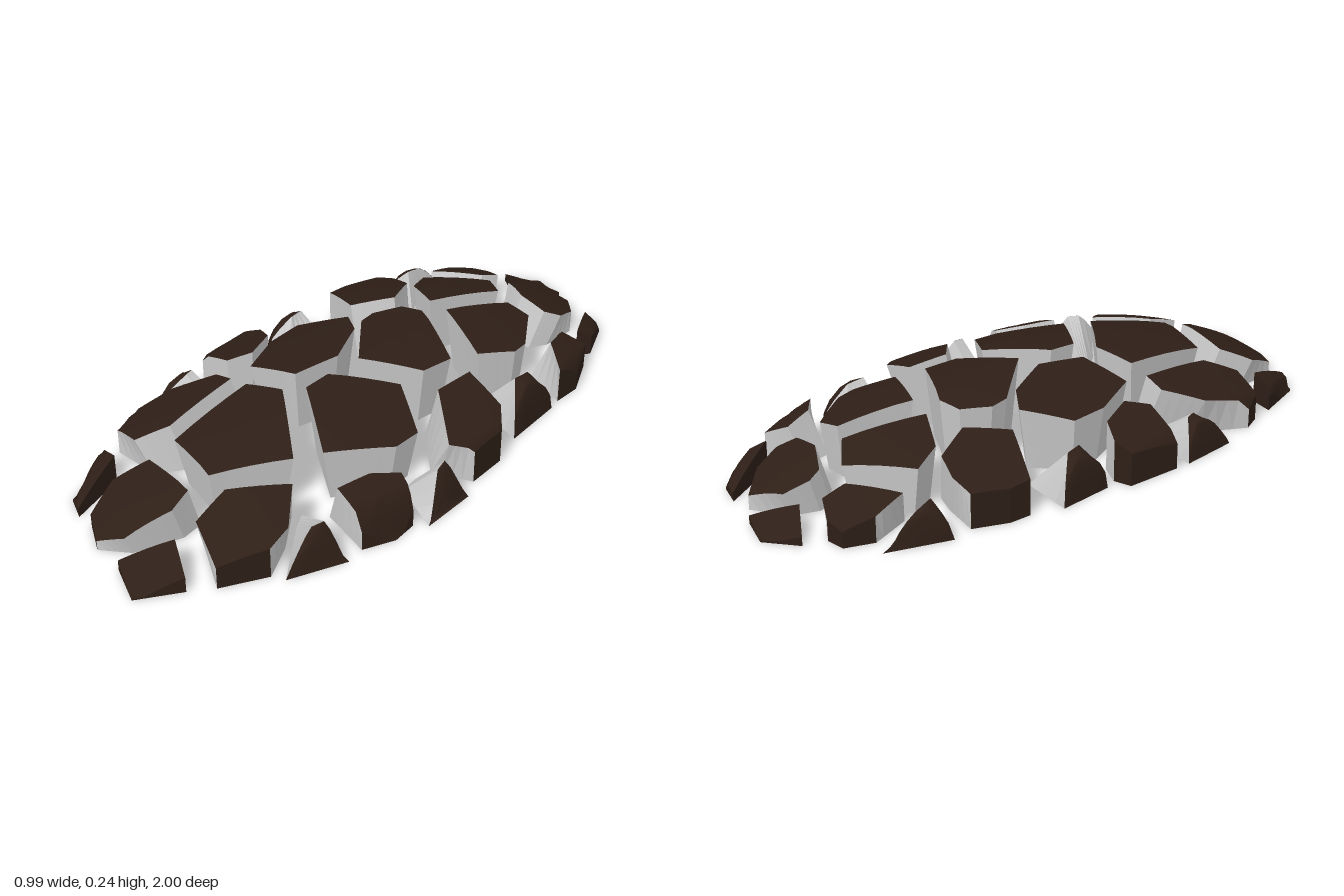
import * as THREE from 'three';

// Slabs on the crown of the dome: corners as [x, z]
const CROWN = [
  [[-.26, -.57], [-.10, -.72], [-.01, -.66], [-.09, -.42], [-.22, -.48]],
  [[.06, -.63], [.14, -.64], [.24, -.51], [.25, -.45], [.20, -.33], [-.01, -.41]],
  [[-.17, -.24], [-.13, -.33], [-.06, -.35], [.17, -.24], [.16, -.13], [0, -.01], [-.16, -.18]],
  [[-.33, -.06], [-.22, -.18], [-.14, -.13], [-.06, .02], [-.09, .17], [-.25, .21], [-.32, .06]],
  [[-.01, .11], [.16, -.03], [.32, .06], [.32, .15], [.21, .34], [-.01, .20]],
  [[-.18, .29], [-.06, .25], [.17, .42], [.04, .63], [-.16, .59]],
];

// Larger slabs that run down to the rim
const RIM = [
  [[-.31, -.75], [-.28, -.84], [-.22, -.85], [-.15, -.82], [-.16, -.75], [-.30, -.65]],
  [[-.07, -.81], [-.04, -.88], [.07, -.93], [.15, -.85], [.17, -.77], [.14, -.72], [.04, -.72], [-.06, -.77]],
  [[.24, -.69], [.31, -.73], [.37, -.62], [.37, -.53], [.27, -.60]],
  [[-.45, -.32], [-.45, -.39], [-.41, -.50], [-.34, -.51], [-.26, -.49], [-.20, -.37], [-.28, -.25]],
  [[.24, -.25], [.38, -.24], [.44, -.18], [.45, -.05], [.40, .01], [.24, -.11]],
  [[.39, .20], [.46, .22], [.47, .30], [.43, .40], [.32, .39], [.34, .28]],
  [[-.43, .56], [-.40, .40], [-.32, .29], [-.25, .29], [-.23, .55], [-.29, .64], [-.40, .62]],
  [[.11, .63], [.23, .48], [.32, .58], [.33, .66], [.26, .80], [.12, .75]],
  [[-.22, .78], [-.17, .68], [.03, .70], [.04, .77], [-.02, .90], [-.10, .94], [-.19, .89]],
];

// Upright chips around the rim
const CHIPS = [
  [[.14, -.94], [.22, -.92], [.28, -.80], [.25, -.76]],
  [[-.20, -.92], [-.11, -1], [0, -.97], [-.11, -.87]],
  [[-.38, .70], [-.30, .71], [-.25, .89], [-.32, .86]],
  [[.11, .82], [.21, .87], [.13, 1], [.01, .95]],
  [[-.495, .02], [-.44, 0], [-.37, .03], [-.32, .14], [-.36, .21], [-.495, .20]],
];

// Wedges on the rim: two rim corners with two ridge corners between, then the feet of the ridge
const WEDGES = [
  { top: [[-.37, -.77], [-.37, -.66], [-.36, -.60], [-.43, -.57]], feet: [[-.34, -.66], [-.30, -.56]] },
  { top: [[-.48, -.22], [-.42, -.16], [-.41, -.11], [-.46, -.04]], feet: [[-.30, -.21], [-.35, -.02]] },
  { top: [[-.495, .25], [-.44, .29], [-.43, .32], [-.47, .44]], feet: [[-.26, .25], [-.28, .29]] },
  { top: [[.38, -.49], [.33, -.42], [.33, -.36], [.40, -.29]], feet: [[.26, -.47], [.20, -.33]] },
  { top: [[.485, .01], [.43, .06], [.44, .10], [.495, .19]], feet: [[.32, .07], [.33, .13]] },
  { top: [[.44, .46], [.37, .49], [.36, .53], [.37, .64]], feet: [[.20, .42], [.23, .47]] },
];

const brown = new THREE.MeshStandardMaterial({ color: 0x2e1f17 });
const grey = new THREE.MeshStandardMaterial({ color: 0xcccccc });

// Squared distance from the dome's axis, about 1 at the rim
const radius2 = (x, z) => ((x + .02) / .48) ** 2 + z * z;

// Height of the dome: a shallow crown with steep sides
const height = (x, z) => Math.max(.005, Math.min(
  .243 - .08 * Math.abs(x) - .4 * x * x - .09 * z * z - .15 * z ** 4,
  .33 * Math.sqrt(Math.max(0, 1.08 - radius2(x, z)))));

const lerp = (a, b, t) => [a[0] + (b[0] - a[0]) * t, a[1] + (b[1] - a[1]) * t];
const mean = list => list.reduce((s, p) => [s[0] + p[0] / list.length, s[1] + p[1] / list.length], [0, 0]);

// Crown slabs taper downwards
const taperedFeet = corners => corners.map(c => lerp(c, mean(corners), .17));

// Rim slabs lean outwards, so their inner feet lie nearer the axis
const leaningFeet = corners => corners.map(([x, z]) => {
  const k = radius2(x, z) > .84 ? 0 : Math.min(1, height(x, z) / .15);
  return [x * (1 - .18 * k), z * (1 - .06 * k)];
});

function meshOf(name, points, index, material, smooth) {
  let g = new THREE.BufferGeometry();
  g.setAttribute('position', new THREE.Float32BufferAttribute(points.flat(), 3));
  g.setIndex(index);
  if (!smooth) g = g.toNonIndexed();
  g.computeVertexNormals();
  const mesh = new THREE.Mesh(g, material);
  mesh.name = name;
  return mesh;
}

// drop is 1 at corners where the skin comes down to the ground
function fragment(name, corners, feet, drop = corners.map(() => 0)) {
  const area = corners.reduce((s, [x, z], i) => {
    const [u, w] = corners[(i + 1) % corners.length];
    return s + x * w - u * z;
  }, 0);
  if (area > 0) [corners, feet, drop] = [corners, feet, drop].map(a => [...a].reverse());
  const group = new THREE.Group();
  group.name = name;

  // Outline with each edge split, so that it follows the dome
  const STEPS = 4, top = [], base = [], fall = [], outer = [];
  const upright = i => corners[i][0] === feet[i][0] && corners[i][1] === feet[i][1];
  corners.forEach((c, i) => {
    const j = (i + 1) % corners.length;
    const onRim = upright(i) && upright(j) && radius2(...lerp(c, corners[j], .5)) > .84;
    for (let s = 0; s < STEPS; s++) {
      const t = s / STEPS;
      top.push(lerp(c, corners[j], t));
      base.push(lerp(feet[i], feet[j], t));
      fall.push(drop[i] + (drop[j] - drop[i]) * t);
      outer.push(onRim);
    }
  });
  const n = top.length;

  // Curved outer skin, in rings around the middle
  const centre = mean(top), rings = [.35, .7, .9, 1];
  const lift = ([x, z], f) => [x, height(x, z) * Math.sqrt(1 - f), z];
  const skin = [lift(centre, 0)], skinIndex = [];
  rings.forEach((t, r) => top.forEach((p, i) => {
    skin.push(lift(lerp(centre, p, t), fall[i] * t * t));
    const a = 1 + r * n + i, b = 1 + r * n + (i + 1) % n;
    if (r === 0) skinIndex.push(0, a, b);
    else skinIndex.push(a - n, a, b, a - n, b, b - n);
  }));
  group.add(meshOf('outerSkin', skin, skinIndex, brown, true));

  // Side walls: grey where cut, brown along the rim
  const walls = [...top.map((p, i) => lift(p, fall[i])), ...base.map(([x, z]) => [x, 0, z])];
  const cut = [], rim = [];
  for (let i = 0; i < n; i++) {
    const j = (i + 1) % n;
    if (fall[i] === 1 && fall[j] === 1) continue;
    (outer[i] ? rim : cut).push(i, n + i, n + j, i, n + j, j);
  }
  group.add(meshOf('cutFaces', walls, cut, grey, false));
  if (rim.length) group.add(meshOf('rimFace', walls, rim, brown, false));

  // Flat underside
  const under = [mean(base), ...base].map(([x, z]) => [x, 0, z]), underIndex = [];
  for (let i = 0; i < n; i++) underIndex.push(0, 1 + (i + 1) % n, 1 + i);
  group.add(meshOf('underside', under, underIndex, brown, false));
  return group;
}

export function createModel() {
  const model = new THREE.Group();
  model.name = 'crackedDome';
  CROWN.forEach((c, i) => model.add(fragment(`crownSlab${i + 1}`, c, taperedFeet(c))));
  RIM.forEach((c, i) => model.add(fragment(`rimSlab${i + 1}`, c, leaningFeet(c))));
  CHIPS.forEach((c, i) => model.add(fragment(`rimChip${i + 1}`, c, c)));
  WEDGES.forEach(({ top, feet }, i) =>
    model.add(fragment(`rimWedge${i + 1}`, top, [top[0], ...feet, top[3]], [1, 0, 0, 1])));
  return model;
}
